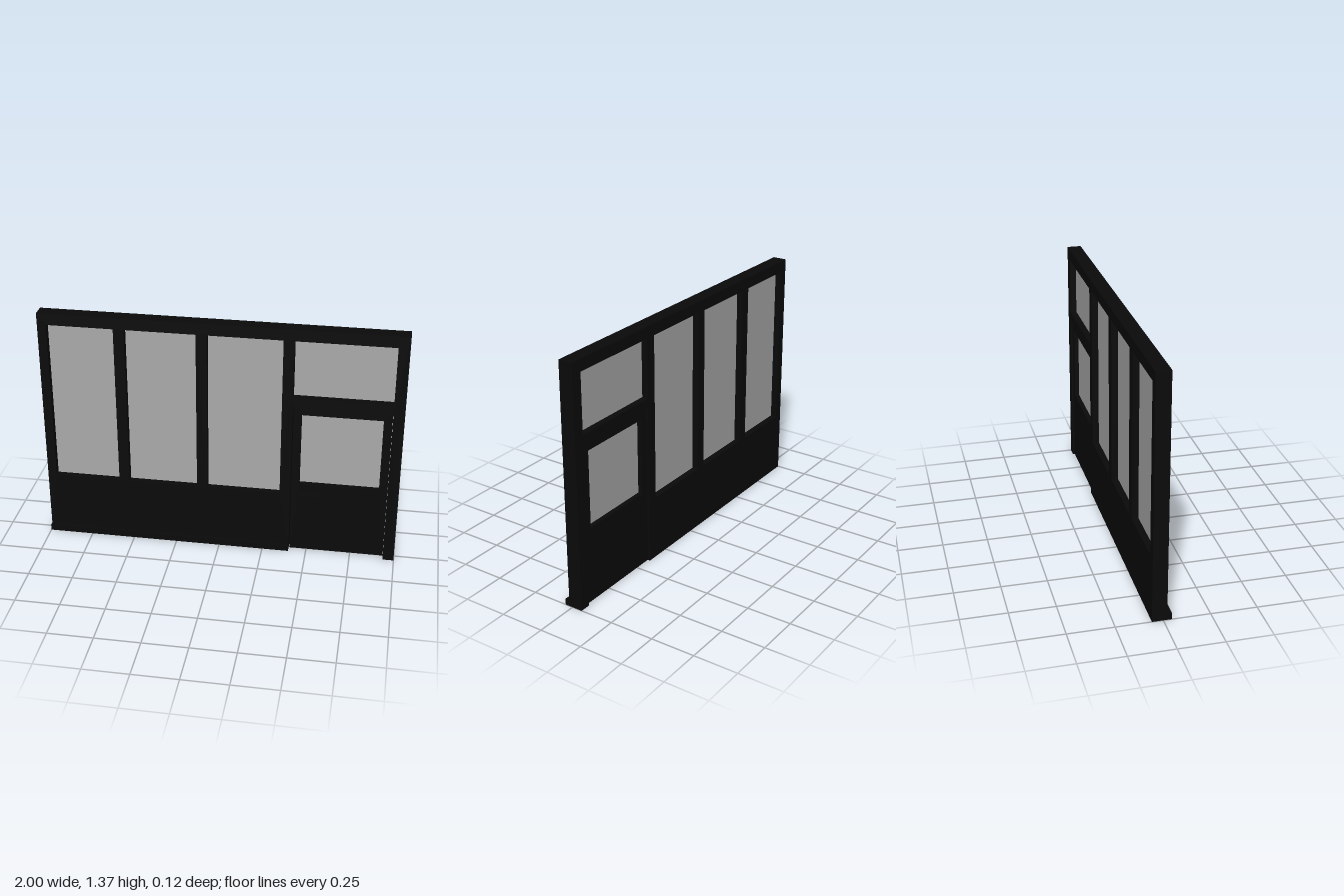
import * as THREE from 'three';

const dark = new THREE.MeshStandardMaterial({ color: 0x0a0a0a });
const glass = new THREE.MeshStandardMaterial({ color: 0xaaaaaa });

// Rectangles are [x0, y0, x1, y1]
const corners = ([x0, y0, x1, y1]) => [[x0, y0], [x1, y0], [x1, y1], [x0, y1]].map(([x, y]) => new THREE.Vector2(x, y));

function add(parent, name, geometry, material = dark) {
  const mesh = new THREE.Mesh(geometry, material);
  mesh.name = name;
  parent.add(mesh);
  return mesh;
}

function box(parent, name, [x0, y0, x1, y1], z0, z1, material) {
  const mesh = add(parent, name, new THREE.BoxGeometry(x1 - x0, y1 - y0, z1 - z0), material);
  mesh.position.set((x0 + x1) / 2, (y0 + y1) / 2, (z0 + z1) / 2);
  return mesh;
}

// Flat slab with rectangular openings
function slab(parent, name, outline, openings, z0, z1) {
  const shape = new THREE.Shape(outline);
  shape.holes = openings.map((r) => new THREE.Path(corners(r).reverse()));
  const geometry = new THREE.ExtrudeGeometry(shape, { depth: z1 - z0, bevelEnabled: false });
  return add(parent, name, geometry.translate(0, 0, z0));
}

const pane = (parent, name, rect) => box(parent, name, rect, -0.024, -0.016, glass);

export function createModel() {
  const model = new THREE.Group();
  model.name = 'storefrontWall';

  // Wall frame, with a doorway notch cut up from the floor
  const windows = [
    [-0.95, 0.365, -0.58, 1.3],
    [-0.52, 0.365, -0.13, 1.3],
    [-0.07, 0.365, 0.34, 1.3],
  ];
  const transom = [0.4, 0.97, 0.938, 1.3];
  const outline = [
    [-1, 0], [0.4, 0], [0.4, 0.915], [0.938, 0.915], [0.938, 0], [1, 0], [1, 1.365], [-1, 1.365],
  ].map(([x, y]) => new THREE.Vector2(x, y));
  slab(model, 'wallFrame', outline, [...windows, transom], -0.06, 0.02);

  // Glazing
  windows.forEach((r, i) => pane(model, `windowPane${i + 1}`, r));
  pane(model, 'transomPane', transom);

  // Skirting along the front, on either side of the doorway
  box(model, 'skirtingLong', [-1, 0, 0.4, 0.035], 0.02, 0.045);
  box(model, 'skirtingShort', [0.938, 0, 1, 0.035], 0.02, 0.045);

  // Door with a thin gap around it
  const door = new THREE.Group();
  door.name = 'door';
  const doorWindow = [0.448, 0.433, 0.89, 0.865];
  slab(door, 'doorLeaf', corners([0.404, 0.005, 0.937, 0.91]), [doorWindow], -0.05, 0.013);
  pane(door, 'doorPane', doorWindow);

  // Lever handle
  const handle = new THREE.Group();
  handle.name = 'doorHandle';
  const stem = add(handle, 'handleStem', new THREE.CylinderGeometry(0.007, 0.007, 0.035, 16));
  stem.rotation.x = Math.PI / 2;
  stem.position.set(0.47, 0.39, 0.03);
  box(handle, 'handleArm', [0.455, 0.383, 0.505, 0.397], 0.043, 0.053);
  box(handle, 'handleGrip', [0.5, 0.381, 0.555, 0.399], 0.042, 0.06);
  door.add(handle);
  model.add(door);

  return model;
}
